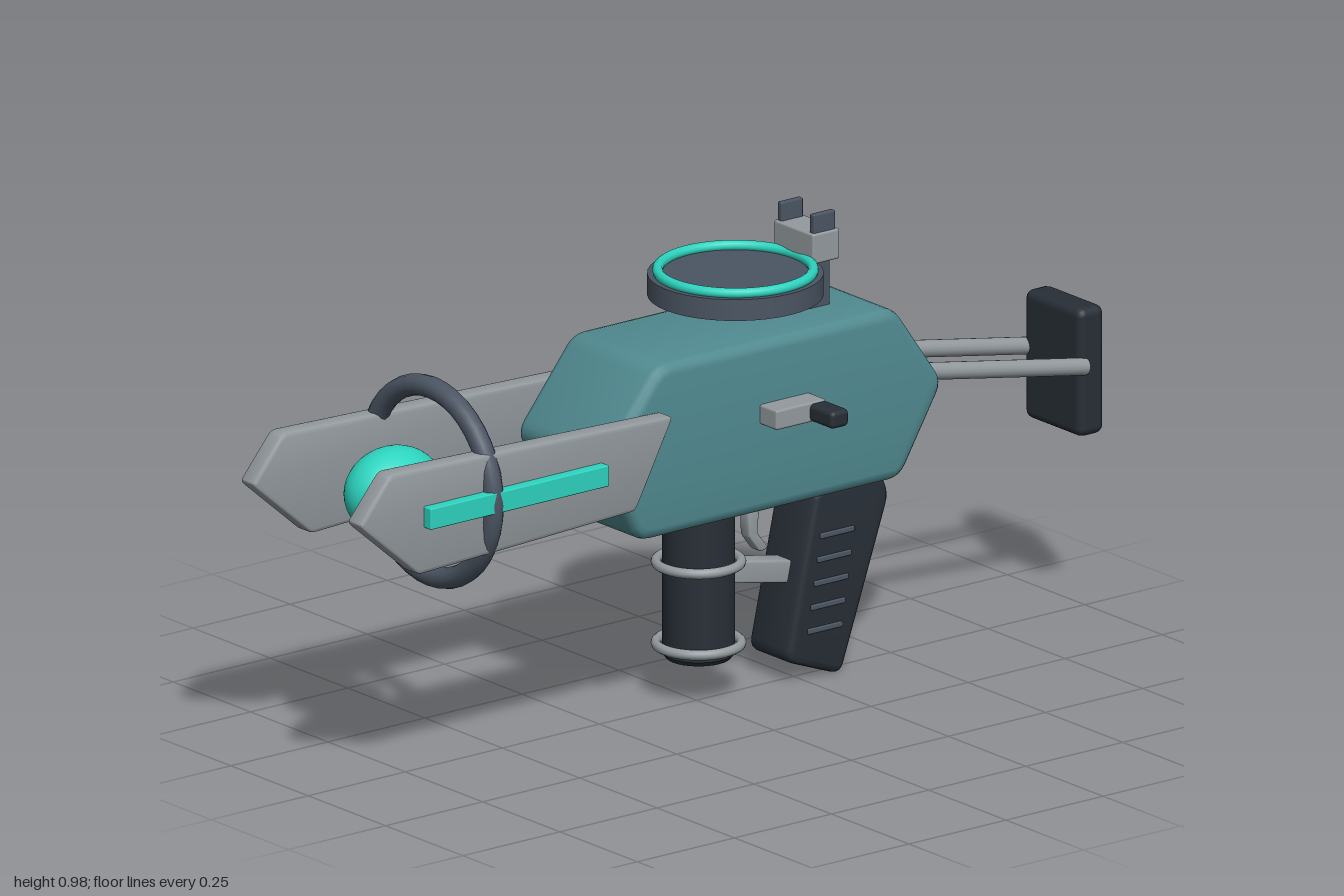
import * as THREE from 'three';
import { toCreasedNormals } from 'three/addons/utils/BufferGeometryUtils.js';
import { RoundedBoxGeometry } from 'three/addons/geometries/RoundedBoxGeometry.js';

const CX = -0.025; // the weapon's centre line

export function createModel() {
  const model = new THREE.Group();
  model.name = 'sciFiBlaster';

  const mat = (name, color) => {
    const m = new THREE.MeshStandardMaterial({ color });
    m.name = name;
    return m;
  };
  const teal = mat('teal shell', 0x508a90);
  const grey = mat('light grey metal', 0x939a9e);
  const slate = mat('slate metal', 0x4b5563);
  const dark = mat('dark rubber', 0x282f37);
  const cyan = mat('cyan glow', 0x2dd4bf);

  const add = (name, geometry, material, x = 0, y = 0, z = 0) => {
    const mesh = new THREE.Mesh(geometry, material);
    mesh.name = name;
    mesh.position.set(x, y, z);
    model.add(mesh);
    return mesh;
  };

  // Box given by its centre and size, with softened edges
  const box = (name, material, [x, y, z], [w, h, d], r = 0.005) =>
    add(name, new RoundedBoxGeometry(w, h, d, 2, r), material, x, y, z);

  // Side profile of [z, y] points with rounded corners, extruded across x
  const slab = (name, material, points, x, width, bevel, round) => {
    const pts = points.map(([z, y]) => new THREE.Vector2(z, y));
    const shape = new THREE.Shape();
    pts.forEach((p, i) => {
      const toward = (q) => p.clone().add(q.clone().sub(p).setLength(round));
      const a = toward(pts[(i + pts.length - 1) % pts.length]);
      const b = toward(pts[(i + 1) % pts.length]);
      if (i === 0) shape.moveTo(a.x, a.y);
      else shape.lineTo(a.x, a.y);
      shape.quadraticCurveTo(p.x, p.y, b.x, b.y);
    });
    shape.closePath();
    const geo = new THREE.ExtrudeGeometry(shape, {
      depth: width - 2 * bevel, curveSegments: 4,
      bevelThickness: bevel, bevelSize: bevel, bevelOffset: -bevel, bevelSegments: 3,
    });
    geo.translate(0, 0, bevel - width / 2).rotateY(-Math.PI / 2);
    return add(name, toCreasedNormals(geo, 0.6), material, x);
  };

  // Cylinder between two points
  const rod = (name, material, from, to, radius) => {
    const a = new THREE.Vector3(...from), b = new THREE.Vector3(...to);
    const dir = b.clone().sub(a);
    const mesh = add(name, new THREE.CylinderGeometry(radius, radius, dir.length(), 16), material);
    mesh.position.copy(a).lerp(b, 0.5);
    mesh.quaternion.setFromUnitVectors(new THREE.Vector3(0, 1, 0), dir.normalize());
  };

  // Main body
  slab('body', teal, [
    [0.19, 0.782], [-0.42, 0.782], [-0.545, 0.602], [-0.435, 0.418], [0.24, 0.418], [0.335, 0.602],
  ], CX, 0.295, 0.022, 0.03);

  // Paired emitter prongs, glowing strips and stock rods
  for (const side of [-1, 1]) {
    slab('emitterProng', grey, [
      [1.003, 0.618], [0.923, 0.712], [0.193, 0.69], [0.29, 0.508], [0.85, 0.486],
    ], CX + side * 0.173, 0.046, 0.008, 0.012);
    box('glowStrip', cyan, [CX + side * 0.205, 0.607, 0.608], [0.026, 0.045, 0.46], 0.003);
    rod('stockRod', grey, [CX + side * 0.088, 0.617, -0.5], [CX + side * 0.088, 0.537, -0.95], 0.018);
  }

  // Energy orb and its ring
  const orb = add('energyOrb', new THREE.SphereGeometry(1, 32, 20), cyan, CX, 0.598, 0.76);
  orb.scale.set(0.085, 0.092, 0.11);
  add('emitterRing', new THREE.TorusGeometry(0.199, 0.0225, 12, 40), slate, CX, 0.598, 0.663);

  // Shoulder stock pad
  box('stockPad', dark, [CX, 0.523, -0.967], [0.185, 0.272, 0.066], 0.018);

  // Top dish with glowing rim
  add('dish', new THREE.CylinderGeometry(0.178, 0.178, 0.045, 40), slate, CX, 0.859, -0.12);
  const rim = add('dishRim', new THREE.TorusGeometry(0.157, 0.011, 10, 48), cyan, CX, 0.888, -0.12);
  rim.rotation.x = Math.PI / 2;

  // Rear sight
  box('sightPost', slate, [CX, 0.825, -0.302], [0.078, 0.13, 0.064]);
  box('sightBlock', grey, [CX, 0.915, -0.304], [0.128, 0.064, 0.07]);
  for (const side of [-1, 1]) {
    box('sightProng', slate, [CX + side * 0.052, 0.961, -0.303], [0.014, 0.05, 0.056], 0.003);
  }

  // Charging handle on the left side
  box('handleMount', grey, [0.146, 0.629, -0.13], [0.06, 0.042, 0.128]);
  box('handleKnob', dark, [0.207, 0.628, -0.175], [0.08, 0.037, 0.046], 0.01);

  // Forward grip with two metal bands
  const gripProfile = [[0, 0.088], [0.066, 0.088], [0.074, 0.098], [0.074, 0.43]]
    .map(([r, y]) => new THREE.Vector2(r, y));
  add('forwardGrip', toCreasedNormals(new THREE.LatheGeometry(gripProfile, 32), 0.6), dark, CX, 0, -0.025);
  for (const y of [0.118, 0.29]) {
    const band = add('gripBand', new THREE.TorusGeometry(0.086, 0.0105, 10, 40), grey, CX, y, -0.025);
    band.rotation.x = Math.PI / 2;
  }

  // Slanted rear grip with ribs on both sides
  slab('rearGrip', dark, [
    [-0.278, 0.408], [-0.448, 0.408], [-0.47, 0.36], [-0.345, 0], [-0.2, 0.055],
  ], CX, 0.13, 0.015, 0.025);
  for (let i = 0; i < 5; i++) {
    for (const side of [-1, 1]) {
      box('gripRib', slate, [CX + side * 0.065, 0.11 + i * 0.049, -0.298 - i * 0.008],
        [0.008, 0.012, 0.088], 0.003);
    }
  }
  box('gripCollar', slate, [CX, 0.402, -0.338], [0.1, 0.04, 0.13]);

  // Trigger guard and trigger
  box('guardTop', grey, [CX, 0.391, -0.185], [0.05, 0.032, 0.18]);
  slab('guardBottom', grey, [
    [-0.08, 0.285], [-0.26, 0.25], [-0.26, 0.202], [-0.08, 0.237],
  ], CX, 0.05, 0.005, 0.006);
  slab('trigger', grey, [
    [-0.142, 0.38], [-0.172, 0.38], [-0.166, 0.325], [-0.195, 0.287], [-0.172, 0.282], [-0.144, 0.32],
  ], CX, 0.03, 0.004, 0.008);

  return model;
}
